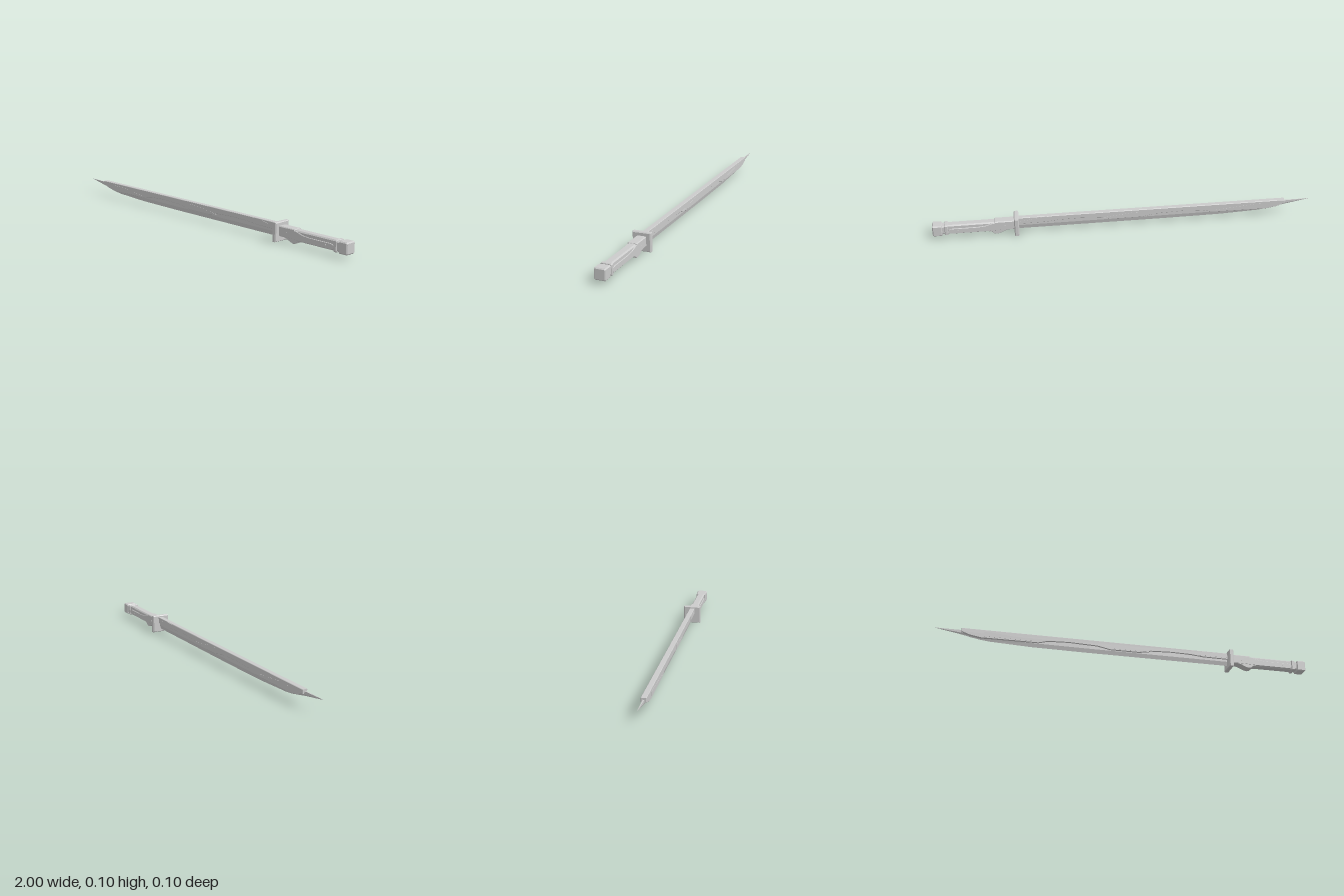
import * as THREE from 'three';

const material = new THREE.MeshStandardMaterial({ color: 0xcccccc, flatShading: true });

function addMesh(parent, name, geometry) {
  const mesh = new THREE.Mesh(geometry, material);
  mesh.name = name;
  parent.add(mesh);
  return mesh;
}

function polygon(points) {
  return new THREE.Shape(points.map(([x, y]) => new THREE.Vector2(x, y)));
}

// Side outline (x, y) made into a plate of half thickness h, centred on z
function plate(points, h, bevel = 0) {
  const depth = 2 * (h - bevel);
  const geometry = new THREE.ExtrudeGeometry(polygon(points), {
    depth, bevelEnabled: bevel > 0, bevelThickness: bevel, bevelSize: bevel,
    bevelOffset: -bevel, bevelSegments: 1,
  });
  return geometry.translate(0, 0, -depth / 2);
}

// Block along x with clipped long edges (cut) and bevelled ends
function block(x0, x1, y0, y1, h, cut, bevel) {
  const outline = polygon([
    [-h + cut, y0], [h - cut, y0], [h, y0 + cut], [h, y1 - cut],
    [h - cut, y1], [-h + cut, y1], [-h, y1 - cut], [-h, y0 + cut],
  ]);
  const geometry = new THREE.ExtrudeGeometry(outline, {
    depth: x1 - x0 - 2 * bevel, bevelEnabled: bevel > 0, bevelThickness: bevel,
    bevelSize: bevel, bevelOffset: -bevel, bevelSegments: 1,
  });
  return geometry.rotateY(Math.PI / 2).translate(x0 + bevel, 0, 0);
}

// Cutting blade: five-sided sections [x, top, edge, half thickness] joined in a row
function bladeGeometry(stations) {
  const positions = [], index = [], n = 5;
  for (const [x, top, edge, w] of stations) {
    const mid = edge + (top - edge) * 0.35;
    positions.push(x, top, w, x, mid, w, x, edge, 0, x, mid, -w, x, top, -w);
  }
  for (let s = 0; s < stations.length - 1; s++) {
    for (let i = 0; i < n; i++) {
      const a = s * n + i, b = s * n + (i + 1) % n;
      index.push(a, b, a + n, b, b + n, a + n);
    }
  }
  const end = (stations.length - 1) * n;
  for (let i = 1; i < n - 1; i++) {
    index.push(0, i + 1, i, end, end + i, end + i + 1);
  }
  const geometry = new THREE.BufferGeometry();
  geometry.setAttribute('position', new THREE.Float32BufferAttribute(positions, 3));
  geometry.setIndex(index);
  geometry.computeVertexNormals();
  return geometry;
}

export function createModel() {
  const model = new THREE.Group();
  model.name = 'sword';

  // Blade
  const blade = new THREE.Group();
  blade.name = 'blade';
  model.add(blade);
  addMesh(blade, 'cuttingEdge', bladeGeometry([
    [-1, 0.08, 0.079, 0.0005], [-0.865, 0.078, 0.055, 0.004],
    [-0.77, 0.08, 0.035, 0.006], [-0.72, 0.08, 0.029, 0.006],
    [-0.5, 0.08, 0.02, 0.006], [-0.2, 0.08, 0.018, 0.006], [0.56, 0.08, 0.018, 0.006],
  ]));

  // Thick spine with a stepped wavy lower border
  addMesh(blade, 'spine', plate([
    [-0.865, 0.066], [-0.82, 0.05], [-0.765, 0.041], [-0.47, 0.043], [-0.42, 0.057],
    [-0.31, 0.062], [-0.16, 0.057], [-0.09, 0.043], [0.07, 0.043], [0.13, 0.057],
    [0.24, 0.062], [0.35, 0.06], [0.42, 0.053], [0.56, 0.052], [0.56, 0.087], [-0.865, 0.087],
  ], 0.0135, 0.002));

  // Tapering panels on both faces of the spine
  for (const [x0, x1, y] of [[-0.75, -0.49, 0.05], [-0.09, 0.12, 0.05], [0.39, 0.55, 0.06]]) {
    addMesh(blade, 'spinePanel', plate([
      [x0, y], [x1, y], [x1, y + 0.005], [x0 + 0.05, y + 0.024], [x0, y + 0.024],
    ], 0.0145));
  }

  // Square guard
  addMesh(model, 'guard', block(0.556, 0.581, 0, 0.097, 0.048, 0.001, 0.005));

  // Handle
  const handle = new THREE.Group();
  handle.name = 'handle';
  model.add(handle);
  addMesh(handle, 'collar', block(0.578, 0.68, 0.028, 0.079, 0.0245, 0.004, 0.002));
  addMesh(handle, 'grip', block(0.67, 0.93, 0.023, 0.076, 0.021, 0.006, 0));

  // Finger hook under the collar
  addMesh(handle, 'fingerHook', plate([
    [0.6, 0.032], [0.63, 0.023], [0.655, 0.011], [0.675, 0.007], [0.69, 0.012],
    [0.695, 0.02], [0.715, 0.026], [0.72, 0.036], [0.6, 0.036],
  ], 0.0235, 0.002));

  // Side scales sweeping down from the collar
  addMesh(handle, 'gripScales', plate([
    [0.64, 0.03], [0.72, 0.027], [0.91, 0.027], [0.92, 0.035], [0.92, 0.05],
    [0.9, 0.056], [0.77, 0.056], [0.73, 0.06], [0.69, 0.072], [0.64, 0.072],
  ], 0.0245, 0.002));

  // Rivets through collar and grip
  for (const [x, y] of [[0.63, 0.05], [0.87, 0.042]]) {
    const rivet = addMesh(handle, 'rivet',
      new THREE.CylinderGeometry(0.005, 0.005, 0.052, 10).rotateX(Math.PI / 2));
    rivet.position.set(x, y, 0);
  }

  // Pommel: ring, neck and cap
  addMesh(handle, 'pommelRing', block(0.92, 0.938, 0.02, 0.078, 0.028, 0.005, 0.003));
  addMesh(handle, 'pommelNeck', block(0.93, 0.96, 0.026, 0.072, 0.023, 0.005, 0));
  addMesh(handle, 'pommelCap', block(0.95, 1, 0.019, 0.078, 0.0295, 0.005, 0.005));

  return model;
}
